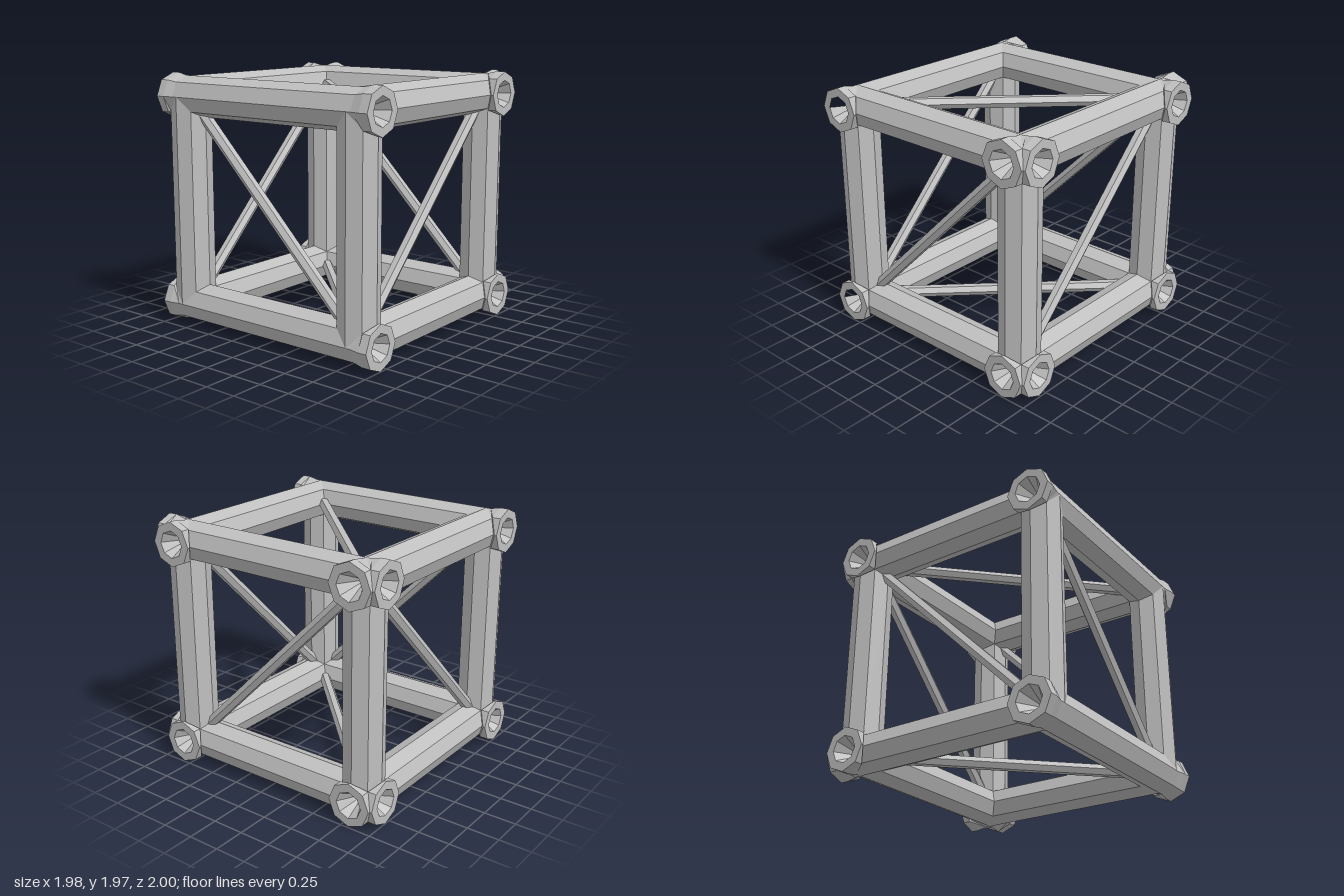
import * as THREE from 'three';

const R = 0.155;        // beam radius
const COLLAR = 0.173;   // collar radius
const BORE = 0.106;     // socket opening radius
const REACH = 0.19;     // collar length beyond the corner

const V = (x, y, z) => new THREE.Vector3(x, y, z);
const AXES = [V(1, 0, 0), V(0, 1, 0), V(0, 0, 1)];
const signs = [-1, 1];

// Centre of a cube corner from its three signs
const corner = (s) => V(s[0] < 0 ? -0.82 : 0.8, s[1] < 0 ? 0.175 : 1.8, s[2] * 0.81);

// Directions in which tubes leave a corner: three inward, plus the open sockets
function limbs(s) {
  const list = AXES.map((a, i) => a.clone().multiplyScalar(-s[i]));
  list.push(V(0, 0, s[2]));
  if (s[0] > 0) list.push(V(1, 0, 0));
  return list;
}

// How far along a tube its edge must start so that it meets its neighbours
const mitre = (s, o) => Math.max(0, ...limbs(s).map((e) => e.dot(o)));

// Offsets of a regular polygon around direction d, first corner towards u
function polygon(d, u, r, sides, turn = 0) {
  const v = d.clone().cross(u);
  return Array.from({ length: sides }, (_, k) => {
    const a = turn + (k / sides) * Math.PI * 2;
    return u.clone().multiplyScalar(r * Math.cos(a)).addScaledVector(v, r * Math.sin(a));
  });
}

// Flat-faced skin through a list of rings; keep() may leave faces open
function loft(rings, keep = () => true) {
  const pos = [];
  for (let i = 0; i < rings.length - 1; i++) {
    const n = rings[i].length;
    for (let k = 0; k < n; k++) {
      const j = (k + 1) % n;
      const a = rings[i][k], b = rings[i][j], c = rings[i + 1][j], d = rings[i + 1][k];
      if (!keep(a, b)) continue;
      for (const tri of [[a, b, c], [a, c, d]]) {
        const area = tri[1].clone().sub(tri[0]).cross(tri[2].clone().sub(tri[0])).length();
        if (area > 1e-8) tri.forEach((p) => pos.push(p.x, p.y, p.z));
      }
    }
  }
  const g = new THREE.BufferGeometry();
  g.setAttribute('position', new THREE.Float32BufferAttribute(pos, 3));
  g.computeVertexNormals();
  return g;
}

export function createModel() {
  const model = new THREE.Group();
  model.name = 'trussCube';
  const steel = new THREE.MeshStandardMaterial({ color: 0xc0c0c0 });
  steel.name = 'steel grey';
  const add = (name, geometry) => {
    const mesh = new THREE.Mesh(geometry, steel);
    mesh.name = name;
    model.add(mesh);
  };

  // Twelve octagonal beams, mitred at the corners
  AXES.forEach((d, i) => {
    const u = AXES[(i + 1) % 3];
    for (const p of signs) for (const q of signs) {
      const s0 = [0, 0, 0];
      s0[i] = -1; s0[(i + 1) % 3] = p; s0[(i + 2) % 3] = q;
      const s1 = s0.slice();
      s1[i] = 1;
      const A = corner(s0), B = corner(s1);
      const offs = polygon(d, u, R, 8);
      add(['crossBeam', 'post', 'sideBeam'][i], loft([
        offs.map((o) => A.clone().add(o).addScaledVector(d, mitre(s0, o))),
        offs.map((o) => B.clone().add(o).addScaledVector(d, -mitre(s1, o))),
      ]));
    }
  });

  // Collar with a rim and a funnel-shaped socket
  function addSocket(s, d, u) {
    const C = corner(s);
    const ring = (r, start) => polygon(d, u, r, 8).map((o) =>
      C.clone().add(o).addScaledVector(d, Math.max(start, mitre(s, o))));
    const flat = (r, t) => polygon(d, u, r, 8).map((o) => C.clone().add(o).addScaledVector(d, t));
    const mouth = flat(BORE, REACH);
    add('collar', loft([ring(R, 0), ring(R, 0.04), ring(COLLAR, 0.12), flat(COLLAR, REACH), mouth]));
    // One quarter of the funnel is open on the front sockets at -x
    const open = s[0] < 0 && d.z > 0;
    add('socketFunnel', loft([mouth, flat(0, 0)], (a, b) =>
      !(open && a.x + b.x < 2 * C.x && a.y + b.y > 2 * C.y)));
  }
  for (const x of signs) for (const y of signs) for (const z of signs) {
    addSocket([x, y, z], V(0, 0, z), AXES[0]);
    if (x > 0) addSocket([x, y, z], V(1, 0, 0), AXES[1]);
  }

  // Thin hexagonal diagonal on each of the six sides
  function addBrace(name, s0, s1, normal, turn) {
    const A = corner(s0), B = corner(s1);
    const d = B.clone().sub(A).normalize();
    const offs = polygon(d, normal, 0.048, 6, turn);
    const end = (P, t) => offs.map((o) => P.clone().add(o).addScaledVector(d, t));
    add(name, loft([end(A, 0.15), end(B, -0.15)]));
  }
  for (const k of signs) {
    addBrace('faceBrace', [-1, -1, k], [1, 1, k], AXES[2], 0);
    addBrace('sideBrace', [k, -1, 1], [k, 1, -1], AXES[0], 0);
    addBrace('levelBrace', [-1, k, 1], [1, k, -1], AXES[1], Math.PI / 6);
  }
  return model;
}
